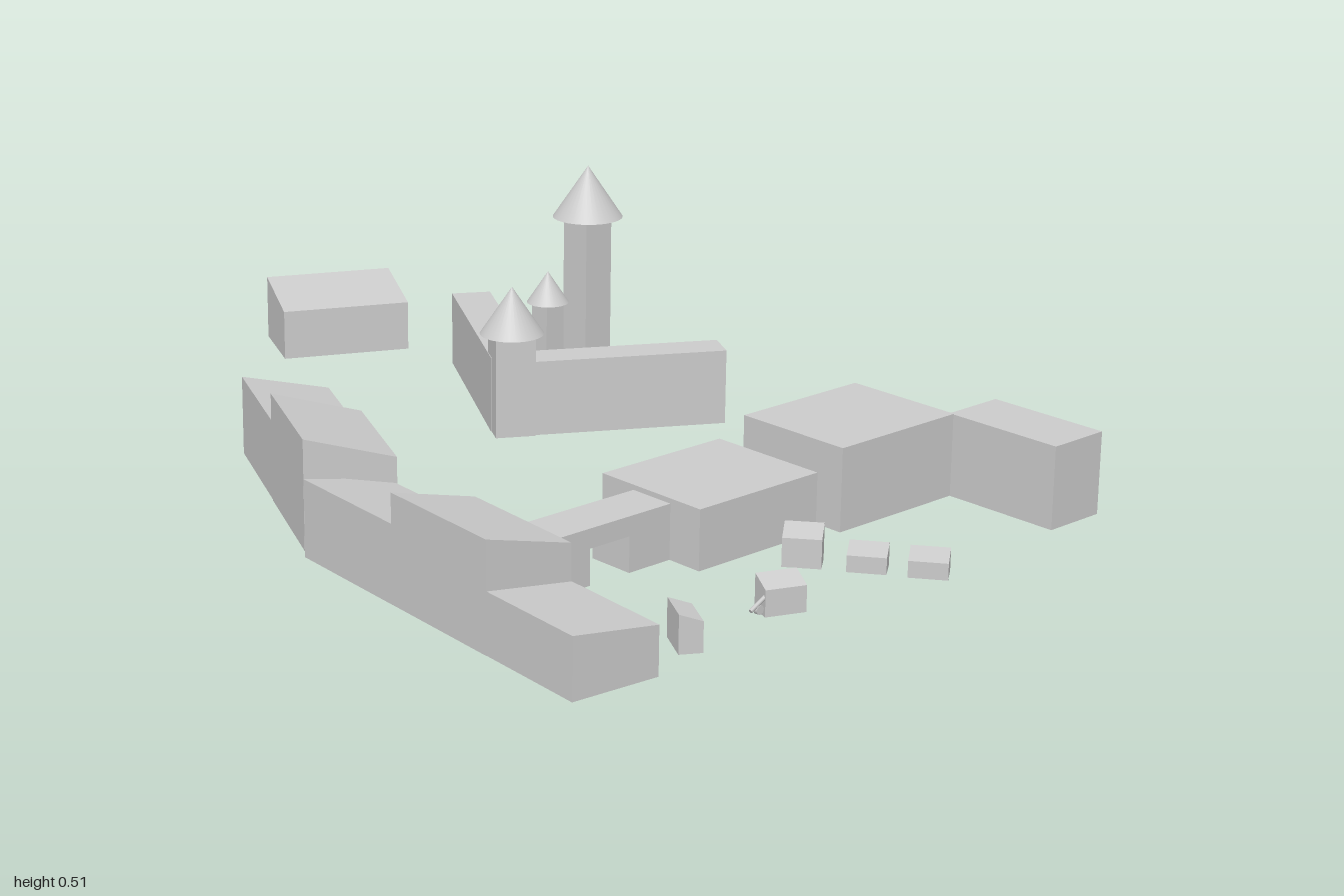
import * as THREE from 'three';

const material = new THREE.MeshStandardMaterial({ color: 0xcccccc });

// Block turned about y; its roof falls from height hi (local -x) to lo (local +x).
function block(name, x, z, w, d, angle, hi, lo = hi, base = 0) {
  const geometry = new THREE.BoxGeometry(w, 1, d);
  const p = geometry.attributes.position;
  for (let i = 0; i < p.count; i++) {
    p.setY(i, p.getY(i) < 0 ? base : p.getX(i) < 0 ? hi : lo);
  }
  geometry.computeVertexNormals();
  const mesh = new THREE.Mesh(geometry, material);
  mesh.name = name;
  mesh.position.set(x, 0, z);
  mesh.rotation.y = angle;
  return mesh;
}

// Axis-aligned box from its limits in x, y and z.
function box(name, x0, x1, y0, y1, z0, z1) {
  return block(name, (x0 + x1) / 2, (z0 + z1) / 2, x1 - x0, z1 - z0, 0, y1, y1, y0);
}

// Square shaft with a round conical roof.
function tower(name, x, z, side, angle, base, eaves, tip, radius) {
  const group = new THREE.Group();
  group.name = name;
  const roof = new THREE.Mesh(new THREE.ConeGeometry(radius, tip - eaves, 32), material);
  roof.name = name + 'Roof';
  roof.position.set(x, (eaves + tip) / 2, z);
  group.add(block(name + 'Shaft', x, z, side, side, angle, eaves, eaves, base), roof);
  return group;
}

// Wall running from one plan point to another.
function wall(name, x0, z0, x1, z1, thickness, height, base) {
  return block(name, (x0 + x1) / 2, (z0 + z1) / 2, Math.hypot(x1 - x0, z1 - z0), thickness,
    -Math.atan2(z1 - z0, x1 - x0), height, height, base);
}

export function createModel() {
  const model = new THREE.Group();
  model.name = 'castleVillage';

  // Bent row of long houses, roofs falling inwards
  [
    [-0.325, -0.216, 0.175, 0.288, -0.433, 0.16, 0.122],
    [-0.445, 0.041, 0.175, 0.28, -0.433, 0.215, 0.165],
    [-0.525, 0.306, 0.178, 0.285, -0.087, 0.15, 0.115],
    [-0.549, 0.585, 0.178, 0.282, -0.087, 0.207, 0.162],
    [-0.5705, 0.842, 0.178, 0.24, -0.087, 0.115, 0.092],
  ].forEach((h, i) => model.add(block('rowHouse' + (i + 1), ...h)));

  // Gatehouse passage: two piers and the span over the opening
  model.add(
    box('gatePierRight', -0.48, -0.305, 0, 0.07, 0.5, 0.597),
    box('gatePierLeft', -0.21, -0.11, 0, 0.07, 0.5, 0.597),
    box('gateSpan', -0.48, -0.11, 0.07, 0.108, 0.5, 0.597),
  );

  // Front halls
  model.add(
    box('middleHall', -0.11, 0.192, 0, 0.118, 0.417, 0.673),
    box('largeHall', 0.227, 0.535, 0, 0.165, 0.447, 0.702),
    box('cornerHall', 0.533, 0.667, 0, 0.164, 0.692, 0.95),
  );

  // Castle wings meeting at the corner tower
  model.add(
    wall('castleBackWing', 0.137, -0.124, 0.378, -0.534, 0.083, 0.165, 0.008),
    wall('castleFrontWing', 0.137, -0.124, 0.519, 0.092, 0.076, 0.163, 0.008),
    tower('cornerTower', 0.137, -0.122, 0.082, -0.514, 0.008, 0.215, 0.312, 0.065),
    tower('smallTower', 0.285, -0.18, 0.046, 0, 0.027, 0.24, 0.305, 0.043),
    tower('tallTower', 0.394, -0.18, 0.069, 0, 0.043, 0.403, 0.51, 0.072),
  );

  // Outlying house behind the castle
  model.add(block('backHouse', 0.263, -0.859, 0.178, 0.279, -2.004, 0.138, 0.107));

  // Cottages along the front
  [
    [-0.365, 0.9, 0.043, 0.081, -0.525, 0.072, 0.057],
    [-0.132, 0.897, 0.045, 0.078, -1.95, 0.066, 0.05],
    [0.061, 0.765, 0.053, 0.072, -2.46, 0.07, 0.056],
    [0.13, 0.86, 0.053, 0.072, -2.49, 0.043, 0.032],
    [0.193, 0.95, 0.053, 0.072, -2.49, 0.043, 0.032],
  ].forEach((c, i) => model.add(block('cottage' + (i + 1), ...c)));

  // Little mill wheel and axle beside the second cottage
  const axle = new THREE.Mesh(new THREE.CylinderGeometry(0.004, 0.004, 0.045, 8), material);
  axle.name = 'millAxle';
  axle.position.set(-0.187, 0.028, 0.898);
  axle.rotation.z = -1.1;
  const wheel = new THREE.Mesh(new THREE.CylinderGeometry(0.009, 0.009, 0.008, 8), material);
  wheel.name = 'millWheel';
  wheel.position.set(-0.187, 0.016, 0.898);
  wheel.rotation.x = Math.PI / 2;
  model.add(axle, wheel);

  return model;
}
